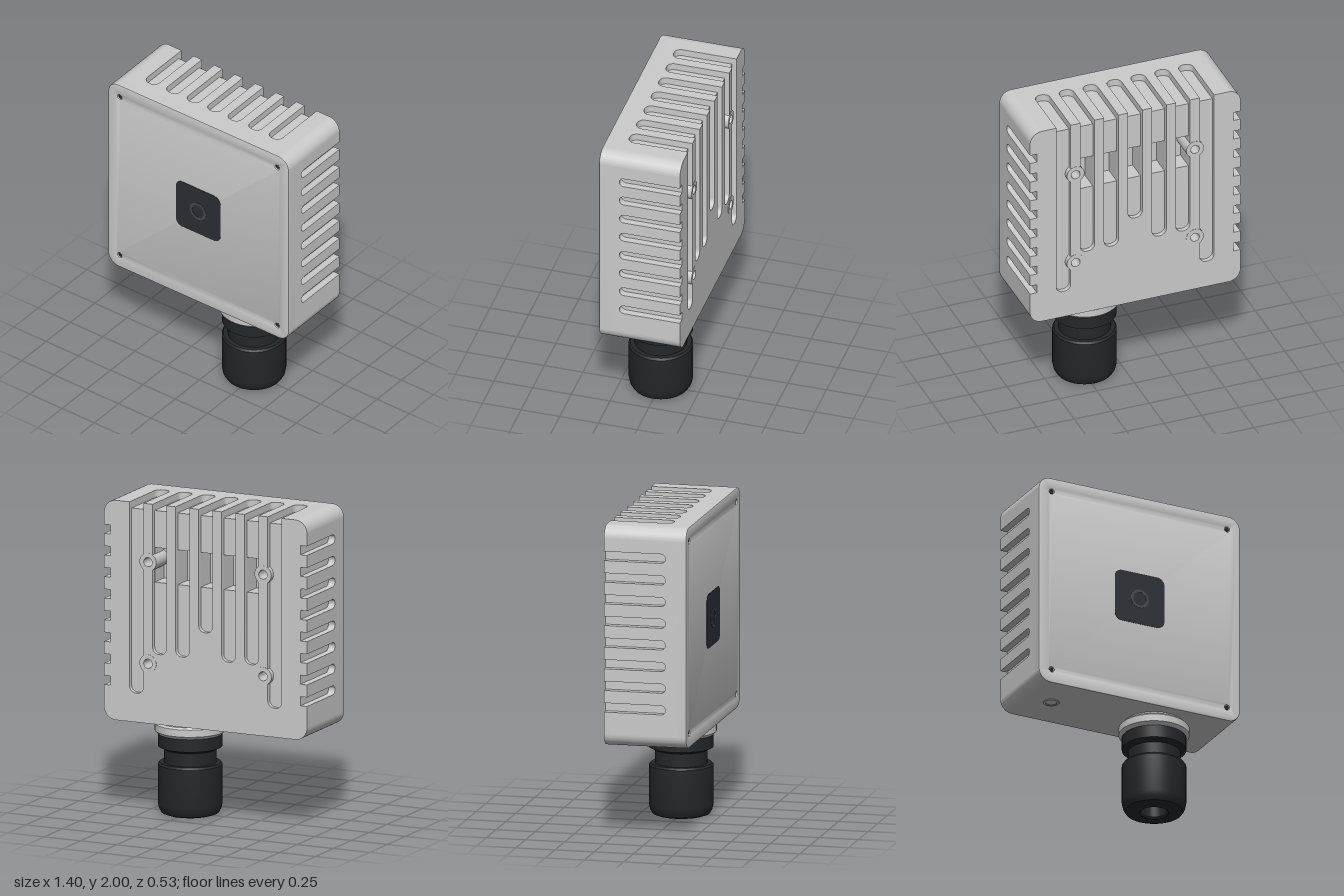
import * as THREE from 'three';
import { toCreasedNormals } from 'three/addons/utils/BufferGeometryUtils.js';

const W = 0.7, Y0 = 0.605, Y1 = 2, MID = (Y0 + Y1) / 2, R = 0.08;   // housing outline
const SINK = 0.045;                        // depth of the side and top grooves
const Z_BACK = -0.262, Z_FLOOR = -0.232, Z_DEEP = -0.1, Z_SLOT = 0.13, Z_SEAM = 0.2;

const grey = new THREE.MeshStandardMaterial({ color: 0xcccccc });
const black = new THREE.MeshStandardMaterial({ color: 0x24282b });
const panelDark = new THREE.MeshStandardMaterial({ color: 0x2a2f36 });
const ringDark = new THREE.MeshStandardMaterial({ color: 0x45494f });

// groove positions along the top (x) and the sides (y relative to the middle)
const topX = [-3, -2, -1, 0, 1, 2, 3].map(i => i * 0.159);
const sideY = Array.from({ length: 8 }, (_, i) => 0.852 + i * 0.137 - MID);
const backEnds = [0.79, 1.05, 1.05, 1.22, 1.05, 1.05, 0.79];
const bosses = [];
for (const x of [-0.397, 0.397]) for (const y of [0.985, 1.63]) bosses.push([x, y]);

// straight edge of a counter-clockwise outline, with notches cut inward;
// each notch: s = offset from the edge middle, h = half width, d = depth, r = end radius
function edge(shape, x0, y0, x1, y1, notches = []) {
  const a = new THREE.Vector2(x0, y0), b = new THREE.Vector2(x1, y1);
  const mid = a.clone().add(b).multiplyScalar(0.5), dir = b.clone().sub(a).normalize();
  const to = (s, d) => shape.lineTo(mid.x + dir.x * s - dir.y * d, mid.y + dir.y * s + dir.x * d);
  shape.lineTo(x0, y0);
  for (const { s, h, d, r = 0 } of notches) {
    to(s - h, 0);
    const n = r ? 8 : 0;
    for (const side of [-1, 1]) for (let k = 0; k <= n; k++) {
      const t = n ? (side < 0 ? k : n - k) / n * Math.PI / 2 : 0;
      to(s + side * (h - r + r * Math.cos(t)), d - r + r * Math.sin(t));
    }
    to(s + h, 0);
  }
  shape.lineTo(x1, y1);
}

// rounded housing outline with optional notches at the top and both sides
function outline(top = [], side = []) {
  const s = new THREE.Shape();
  const mirror = side.map(n => ({ ...n, s: -n.s })).reverse();
  s.moveTo(-W + R, Y0);
  s.lineTo(W - R, Y0);
  s.absarc(W - R, Y0 + R, R, -Math.PI / 2, 0);
  edge(s, W, Y0 + R, W, Y1 - R, side);
  s.absarc(W - R, Y1 - R, R, 0, Math.PI / 2);
  edge(s, W - R, Y1, -W + R, Y1, top);
  s.absarc(-W + R, Y1 - R, R, Math.PI / 2, Math.PI);
  edge(s, -W, Y1 - R, -W, Y0 + R, mirror);
  s.absarc(-W + R, Y0 + R, R, Math.PI, Math.PI * 1.5);
  return s;
}

function circle(x, y, r, Type = THREE.Path) {
  const p = new Type();
  p.absarc(x, y, r, 0, Math.PI * 2);
  return p;
}

function roundedRect(x, y, half, r) {
  const s = new THREE.Shape(), c = half - r;
  [[1, -1], [1, 1], [-1, 1], [-1, -1]].forEach(([i, j], k) =>
    s.absarc(x + i * c, y + j * c, r, (k - 1) * Math.PI / 2, k * Math.PI / 2));
  return s;
}

function extrude(shape, z0, z1, bevel = 0) {
  const g = new THREE.ExtrudeGeometry(shape, {
    depth: z1 - z0 - 2 * bevel, curveSegments: 16, bevelEnabled: bevel > 0,
    bevelSize: bevel, bevelThickness: bevel, bevelOffset: -bevel, bevelSegments: 2,
  });
  g.translate(0, 0, z0 + bevel);
  return toCreasedNormals(g, 0.5);
}

// slotted cover plate lying flat, outer face up, grooves open to the back
function finPlate(halfLength, centres, h, r) {
  const s = new THREE.Shape();
  s.moveTo(-halfLength, -Z_SEAM);
  s.lineTo(halfLength, -Z_SEAM);
  edge(s, halfLength, -Z_FLOOR, -halfLength, -Z_FLOOR,
    centres.map(c => ({ s: -c, h, d: Z_SLOT - Z_FLOOR, r })).sort((a, b) => a.s - b.s));
  return extrude(s, 0, SINK).rotateX(-Math.PI / 2);
}

function lathe(points) {
  const g = new THREE.LatheGeometry(points.map(p => new THREE.Vector2(...p)), 64);
  return toCreasedNormals(g, 0.4);
}

export function createModel() {
  const model = new THREE.Group();
  const add = (name, geometry, material = grey, x = 0, y = 0, z = 0) => {
    const mesh = new THREE.Mesh(geometry, material);
    mesh.name = name;
    mesh.position.set(x, y, z);
    model.add(mesh);
    return mesh;
  };

  // core, recessed at the top and sides to carry the fin plates
  const recessTop = [{ s: 0, h: W - R, d: SINK }];
  const recessSide = [{ s: 0, h: MID - Y0 - R, d: SINK }];
  add('core', extrude(outline(recessTop, recessSide), Z_DEEP, Z_SEAM));
  const coreBack = outline(recessTop, recessSide);
  for (const [x, y] of bosses) coreBack.holes.push(circle(x, y, 0.029));
  for (const x of topX.slice(1, 6)) {      // deep pockets inside the inner back grooves
    const p = new THREE.Path();
    p.moveTo(x - 0.047, 1.5);
    p.lineTo(x + 0.047, 1.5);
    p.lineTo(x + 0.047, 1.72);
    p.lineTo(x - 0.047, 1.72);
    p.closePath();
    coreBack.holes.push(p);
  }
  add('coreBack', extrude(coreBack, Z_FLOOR, Z_DEEP));

  // fin plates
  add('topFins', finPlate(W - R, topX, 0.0475, 0.042), grey, 0, Y1 - SINK);
  const halfSide = MID - Y0 - R;
  add('leftFins', finPlate(halfSide, sideY.map(y => -y), 0.029, 0.029).rotateZ(-Math.PI / 2), grey, W - SINK, MID);
  add('rightFins', finPlate(halfSide, sideY, 0.029, 0.029).rotateZ(Math.PI / 2), grey, -W + SINK, MID);

  // back plate with long cooling grooves and mounting bosses
  const back = outline(
    topX.map((x, i) => ({ s: x, h: 0.0475, d: Y1 - backEnds[i], r: 0.042 })),
    sideY.map(y => ({ s: y, h: 0.029, d: SINK })));
  for (const [x, y] of bosses) back.holes.push(circle(x, y, 0.029));
  add('backFins', extrude(back, Z_BACK, Z_FLOOR));
  for (const [x, y] of bosses) {
    const ring = circle(0, 0, 0.058, THREE.Shape);
    ring.holes.push(circle(0, 0, 0.029));
    add('mountingBoss', extrude(ring, Z_BACK - 0.002, Z_DEEP), grey, x, y);
  }

  // front frame, lid and screws
  add('frontFrame', extrude(outline(), Z_SEAM, 0.249));
  const lid = outline();
  const screws = [];
  for (const x of [-0.61, 0.61]) for (const y of [0.695, 1.91]) screws.push([x, y]);
  for (const [x, y] of screws) lid.holes.push(circle(x, y, 0.016));
  add('lid', extrude(lid, 0.238, 0.262, 0.008));
  for (const [x, y] of screws) add('screw', extrude(circle(0, 0, 0.013, THREE.Shape), 0.245, 0.254), black, x, y);

  // camera window and lens
  add('window', extrude(roundedRect(0, 1.305, 0.172, 0.05), 0.255, 0.264), panelDark);
  const lensRing = circle(0, 1.305, 0.062, THREE.Shape);
  lensRing.holes.push(circle(0, 1.305, 0.045));
  add('lensRing', extrude(lensRing, 0.26, 0.266), ringDark);

  // cable gland under the housing
  const gx = 0.235;
  add('glandFlange', lathe([[0, 0.51], [0.2, 0.51], [0.22, 0.53], [0.22, 0.575], [0.208, 0.587], [0.19, 0.587], [0.19, 0.61]]), grey, gx);
  add('glandBody', lathe([[0.163, 0.3], [0.163, 0.412], [0.2, 0.43], [0.2, 0.515], [0, 0.515]]), black, gx);
  add('glandCap', lathe([[0, 0.12], [0.08, 0.12], [0.08, 0.015], [0.09, 0], [0.15, 0], [0.178, 0.01],
    [0.193, 0.035], [0.2, 0.07], [0.2, 0.315], [0.19, 0.328], [0.15, 0.328]]), black, gx);

  // pressure plug under the housing
  add('ventPlug', lathe([[0, 0.603], [0.033, 0.603], [0.036, 0.6], [0.048, 0.6], [0.05, 0.602], [0.05, 0.61]]), grey, -0.48);

  return model;
}
